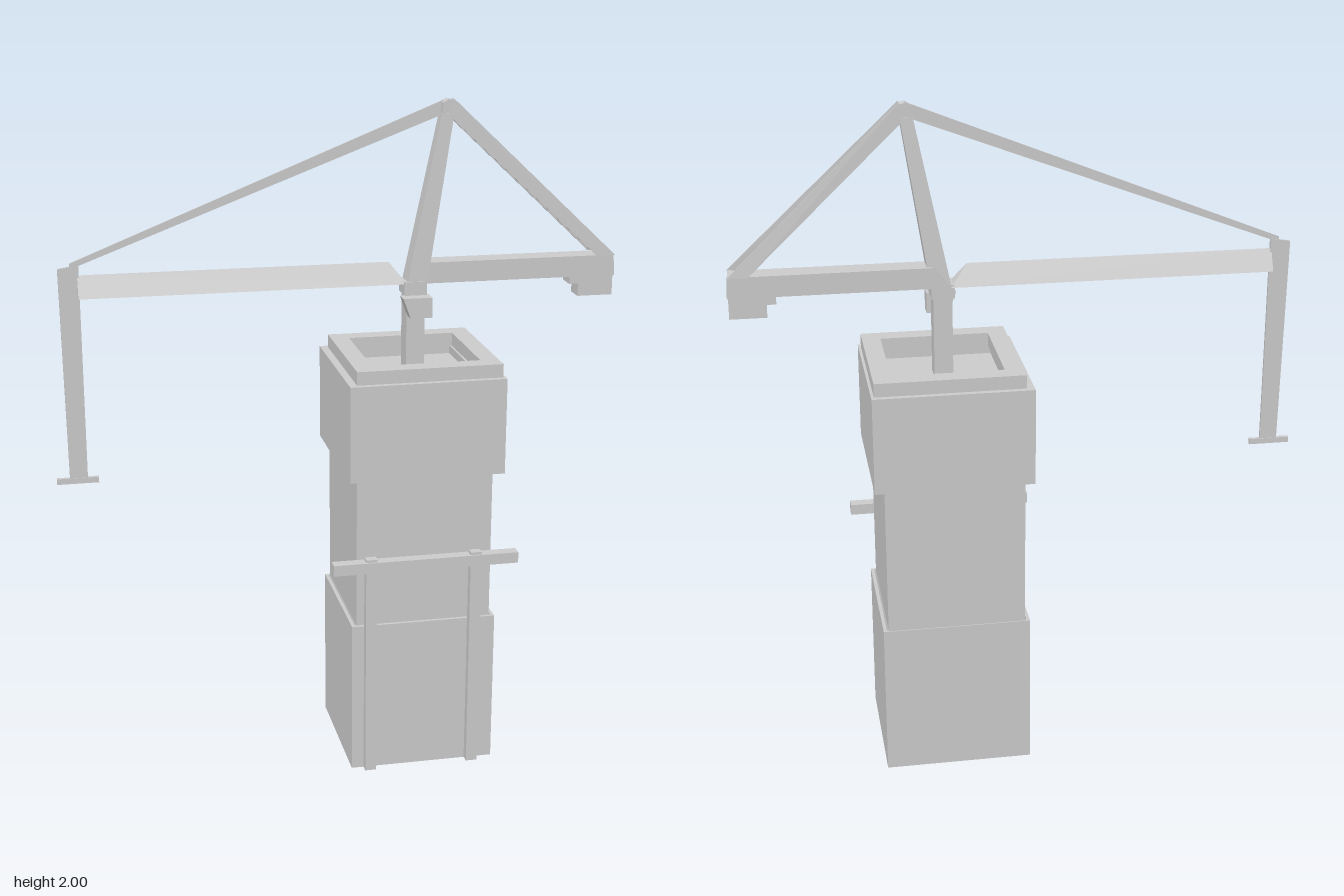
import * as THREE from 'three';
import { ConvexGeometry } from 'three/addons/geometries/ConvexGeometry.js';

const material = new THREE.MeshStandardMaterial({ color: 0xcccccc, flatShading: true, side: THREE.DoubleSide });

export function createModel() {
  const model = new THREE.Group();

  const add = (name, geometry) => {
    const mesh = new THREE.Mesh(geometry, material);
    mesh.name = name;
    model.add(mesh);
    return mesh;
  };

  // Box from its limits on each axis
  const block = (name, x0, x1, y0, y1, z0, z1) =>
    add(name, new THREE.BoxGeometry(x1 - x0, y1 - y0, z1 - z0)
      .translate((x0 + x1) / 2, (y0 + y1) / 2, (z0 + z1) / 2));

  // Upright square tube with walls of thickness t
  const tube = (name, x0, x1, y0, y1, z0, z1, t) => {
    const rect = (Type, i) => {
      const p = new Type();
      p.moveTo(x0 + i, -z1 + i);
      p.lineTo(x1 - i, -z1 + i);
      p.lineTo(x1 - i, -z0 - i);
      p.lineTo(x0 + i, -z0 - i);
      p.closePath();
      return p;
    };
    const shape = rect(THREE.Shape, 0);
    shape.holes.push(rect(THREE.Path, t));
    return add(name, new THREE.ExtrudeGeometry(shape, { depth: y1 - y0, bevelEnabled: false })
      .rotateX(-Math.PI / 2).translate(0, y0, 0));
  };

  // Convex solid around corner points
  const hull = (name, points) =>
    add(name, new ConvexGeometry(points.map((p) => new THREE.Vector3(...p))));

  // Outline in x and y given thickness between two z values
  const slab = (name, outline, z0, z1) =>
    hull(name, outline.flatMap(([x, y]) => [[x, y, z0], [x, y, z1]]));

  // Hollow tower, open underneath
  tube('lowerTower', 0.0, 0.44, 0, 0.47, -0.223, 0.2, 0.01);
  tube('upperTower', 0.015, 0.425, 0.47, 0.94, -0.22, 0.19, 0.01);
  tube('towerCollar', -0.01, 0.455, 0.93, 1.22, -0.25, 0.215, 0.07);
  tube('collarRim', 0.013, 0.447, 1.22, 1.26, -0.233, 0.198, 0.055);
  block('roofFloor', 0.05, 0.4, 1.175, 1.195, -0.19, 0.15);

  // Front frame: two posts and a crossbar
  for (const x of [0.033, 0.35]) block('framePost', x, x + 0.034, 0.01, 0.698, 0.216, 0.242);
  block('frameCrossbar', -0.065, 0.495, 0.657, 0.69, 0.212, 0.247);

  // Mast, turntable and cab
  block('mast', 0.197, 0.252, 0.005, 1.44, -0.037, 0.027);
  block('turntable', 0.19, 0.257, 1.435, 1.475, -0.04, 0.03);
  slab('cab', [[0.178, 1.435], [0.265, 1.435], [0.265, 1.375], [0.2, 1.375]], 0.02, 0.067);

  // Leaning tower head
  const head = (y, x0, x1, z0, z1) => [[x0, y, z0], [x1, y, z0], [x1, y, z1], [x0, y, z1]];
  hull('towerHead', [...head(1.465, 0.198, 0.258, -0.04, 0.027), ...head(1.96, 0.298, 0.335, -0.024, 0.012)]);
  slab('headCap', [[0.298, 1.95], [0.335, 1.95], [0.336, 1.995], [0.318, 2.0], [0.302, 1.99]], -0.022, 0.01);

  // Triangular jib with a sloped inner end
  hull('jib', [
    [-0.755, 1.53, -0.011], [-0.755, 1.467, -0.042], [-0.755, 1.467, 0.02],
    [0.15, 1.53, -0.011], [0.2, 1.467, -0.042], [0.2, 1.467, 0.02],
  ]);

  // Counter jib and counterweight
  hull('counterJib', [
    ...head(1.468, 0.205, 0.835, -0.045, 0.025),
    ...head(1.53, 0.25, 0.83, -0.045, 0.025),
  ]);
  block('counterweight', 0.725, 0.832, 1.407, 1.47, -0.042, 0.018);
  block('counterweightLug', 0.698, 0.73, 1.445, 1.47, -0.042, 0.018);

  // Flat tie bars
  slab('jibTie', [[-0.775, 1.548], [-0.775, 1.565], [0.31, 1.997], [0.32, 1.96]], -0.014, -0.009);
  for (const [top, end] of [[-0.02, -0.055], [0.008, 0.027]]) {
    hull('counterTie', [
      [0.318, 1.955, top], [0.335, 2.0, top], [0.775, 1.53, end], [0.833, 1.53, end],
      [0.318, 1.955, top + 0.004], [0.335, 2.0, top + 0.004], [0.775, 1.53, end + 0.004], [0.833, 1.53, end + 0.004],
    ]);
  }

  // Flat hanging line with its foot
  slab('hangingLine', [[-0.81, 1.55], [-0.75, 1.56], [-0.75, 0.92], [-0.802, 0.92]], -0.016, -0.008);
  block('hangingFoot', -0.84, -0.718, 0.908, 0.925, -0.018, -0.006);

  return model;
}
